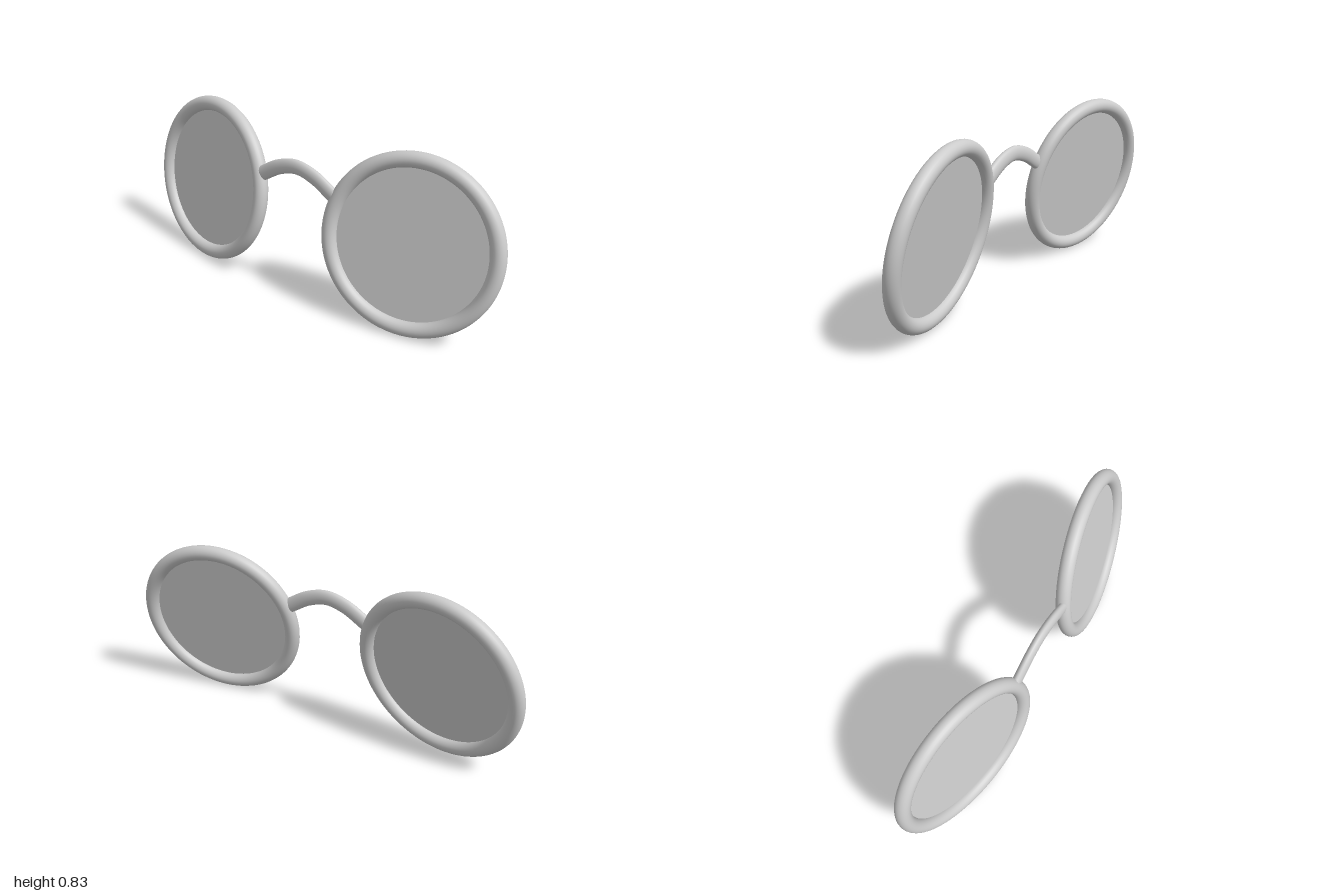
import * as THREE from 'three';

export function createModel() {
  const model = new THREE.Group();
  const frame = new THREE.MeshStandardMaterial({ color: 0xcccccc });
  const glass = new THREE.MeshStandardMaterial({ color: 0xcccccc, side: THREE.DoubleSide });
  const add = (parent, name, geometry, material) => {
    const mesh = new THREE.Mesh(geometry, material);
    mesh.name = name;
    parent.add(mesh);
    return mesh;
  };

  // Two round lenses, leaning back at the top and swept back at the outside
  const tilt = THREE.MathUtils.degToRad(10);
  for (const [side, s] of [['left', 1], ['right', -1]]) {
    const eye = new THREE.Group();
    eye.name = side + 'Eyepiece';
    eye.position.set(s * 0.585, 0.416, 0);
    eye.rotation.set(-tilt, s * tilt, 0);
    add(eye, side + 'Rim', new THREE.TorusGeometry(0.384, 0.036, 24, 96), frame);
    add(eye, side + 'Lens', new THREE.CircleGeometry(0.384, 96), glass);
    model.add(eye);
  }

  // Arched nose bridge, flattened front to back
  const radius = 0.036;
  const arch = new THREE.CatmullRomCurve3([
    [-0.203, 0.565], [-0.1, 0.624], [0, 0.648], [0.1, 0.624], [0.203, 0.565],
  ].map(([x, y]) => new THREE.Vector3(x, y, 0)));
  const bridge = new THREE.Group();
  bridge.name = 'bridge';
  bridge.position.z = 0.045;
  bridge.scale.z = 0.6;
  add(bridge, 'bridgeArch', new THREE.TubeGeometry(arch, 48, radius, 24), frame);

  // Shallow domes close the bridge ends
  for (const t of [0, 1]) {
    const cap = add(bridge, 'bridgeEnd', new THREE.SphereGeometry(radius, 24, 16), frame);
    const tangent = arch.getTangentAt(t);
    cap.position.copy(arch.getPointAt(t));
    cap.rotation.z = Math.atan2(tangent.y, tangent.x);
    cap.scale.x = 0.3;
  }
  model.add(bridge);
  return model;
}
